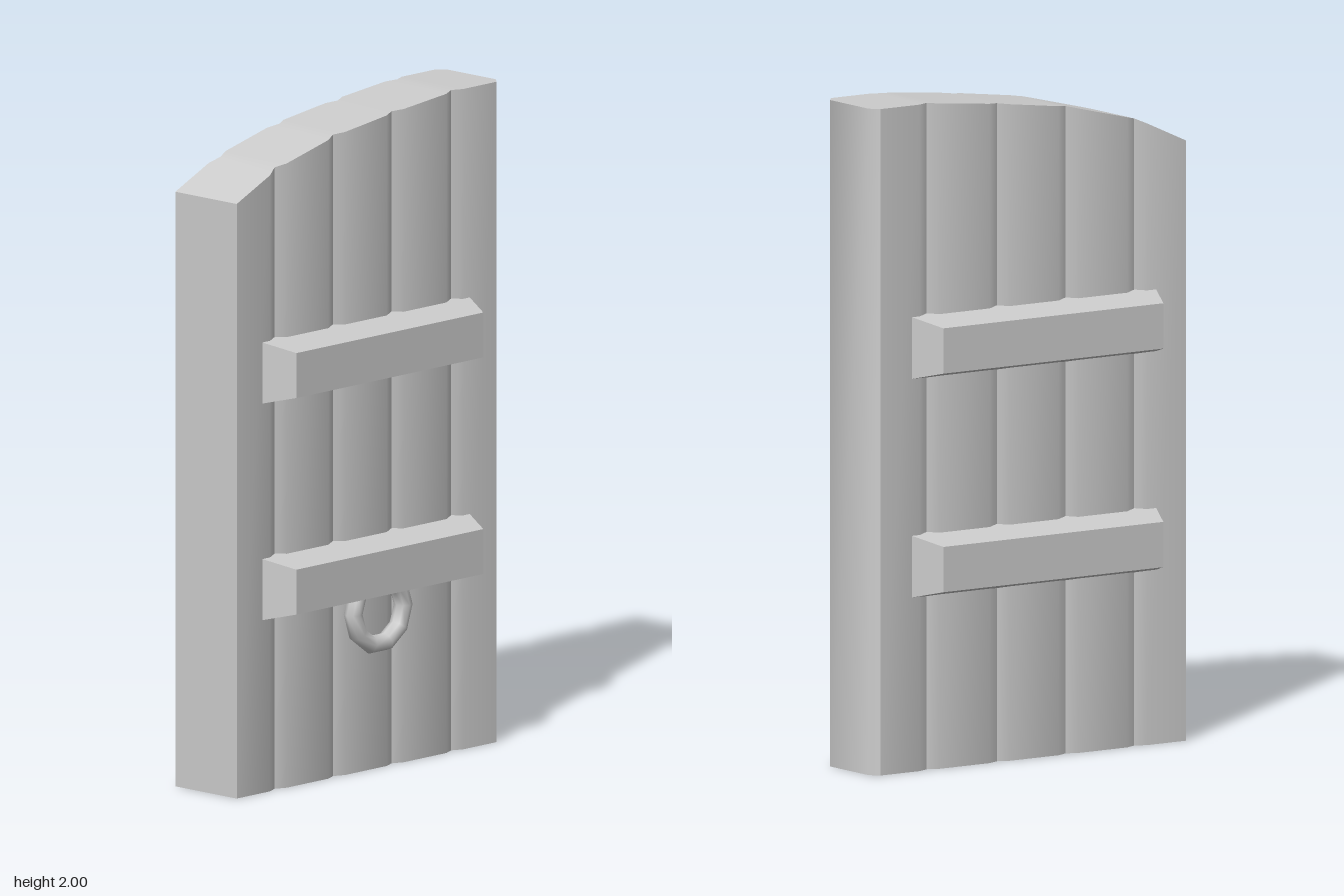
import * as THREE from 'three';
import { toCreasedNormals } from 'three/addons/utils/BufferGeometryUtils.js';

const material = new THREE.MeshStandardMaterial({ color: 0xcccccc });

// Collects quads (corners counter-clockwise from outside) into a creased geometry.
function quadGeometry(quads, crease) {
  const p = [];
  for (const [a, b, c, d] of quads) p.push(...a, ...b, ...c, ...a, ...c, ...d);
  const g = new THREE.BufferGeometry();
  g.setAttribute('position', new THREE.Float32BufferAttribute(p, 3));
  return toCreasedNormals(g, crease);
}

function addMesh(parent, name, geometry) {
  const mesh = new THREE.Mesh(geometry, material);
  mesh.name = name;
  parent.add(mesh);
  return mesh;
}

// Arched top edge, rising from the low side to the hinge side
const arch = [[-0.57, 1.8], [-0.39, 1.882], [-0.14, 1.943], [0.11, 1.975], [0.365, 2], [0.57, 2]];
function topAt(x) {
  for (let i = 1; i < arch.length; i++) {
    const [x0, y0] = arch[i - 1], [x1, y1] = arch[i];
    if (x <= x1) return y0 + (y1 - y0) * (x - x0) / (x1 - x0);
  }
  return 2;
}

// Plank panel: columns of [x, half depth] with V grooves and one chamfered side
function panelGeometry() {
  const depth = 0.126;
  const columns = [[-0.568, depth]];
  for (const x of [-0.39, -0.14, 0.11, 0.365]) {
    columns.push([x - 0.036, depth], [x, depth - 0.0155], [x + 0.036, depth]);
  }
  columns.push([0.544, depth], [0.568, depth - 0.027]);

  const quads = [];
  const section = ([x, z]) => {
    const y = topAt(x);
    return { fb: [x, 0, z], ft: [x, y, z], bb: [x, 0, -z], bt: [x, y, -z] };
  };
  const s = columns.map(section);
  for (let i = 0; i < s.length - 1; i++) {
    const a = s[i], b = s[i + 1];
    quads.push([a.fb, b.fb, b.ft, a.ft], [b.bb, a.bb, a.bt, b.bt],
      [a.ft, b.ft, b.bt, a.bt], [a.bb, b.bb, b.fb, a.fb]);
  }
  const l = s[0], r = s[s.length - 1];
  quads.push([l.bb, l.fb, l.ft, l.bt], [r.fb, r.bb, r.bt, r.ft]);
  return quadGeometry(quads, 0.768);
}

// Cross brace: block tapering outward from the panel, sunk slightly into the grooves
function braceGeometry() {
  const ring = (w, h, z) => [[-w, -h, z], [w, -h, z], [w, h, z], [-w, h, z]];
  const base = ring(0.452, 0.097, 0.108), face = ring(0.4, 0.068, 0.224);
  const quads = [face, [...base].reverse()];
  for (let i = 0; i < 4; i++) {
    const j = (i + 1) % 4;
    quads.push([base[i], base[j], face[j], face[i]]);
  }
  return quadGeometry(quads, 0.1);
}

export function createModel() {
  const door = new THREE.Group();
  door.name = 'door';
  addMesh(door, 'plankPanel', panelGeometry());

  // Two braces on each face
  const brace = braceGeometry();
  for (const [level, y] of [['lower', 0.616], ['upper', 1.272]]) {
    addMesh(door, level + 'FrontBrace', brace).position.set(-0.015, y, 0);
    const back = addMesh(door, level + 'BackBrace', brace);
    back.position.set(-0.015, y, 0);
    back.rotation.y = Math.PI;
  }

  // Ring handle hanging out of the lower front brace
  const ring = addMesh(door, 'ringHandle', new THREE.TorusGeometry(0.107, 0.028, 8, 10));
  ring.position.set(-0.013, 0.495, 0.174);
  return door;
}
